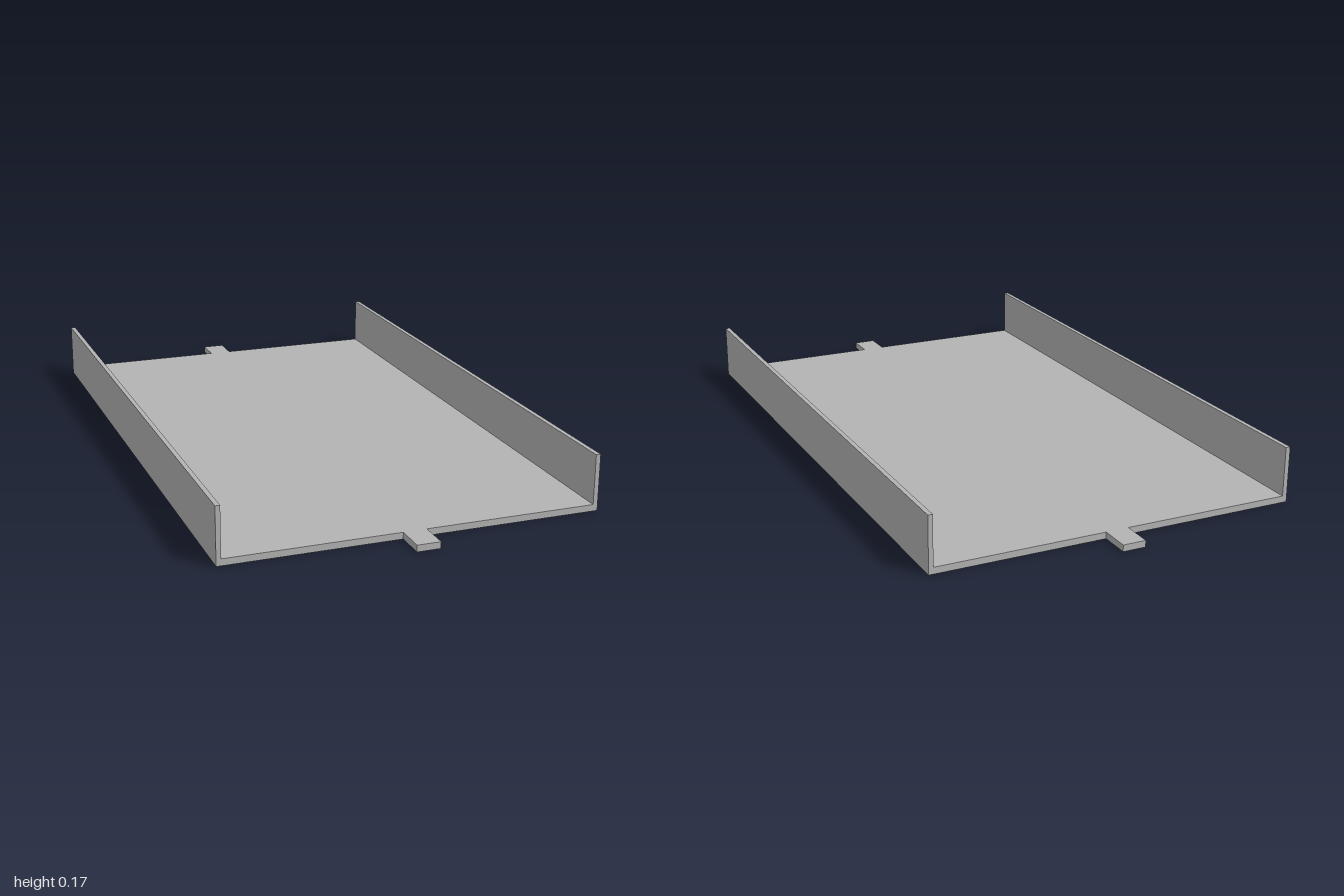
import * as THREE from 'three';

const HALF_WIDTH = 0.563, HALF_LENGTH = 0.908, HEIGHT = 0.17;
const FLOOR = 0.02, WALL = 0.014, TAB_WIDTH = 0.07;

export function createModel() {
  const model = new THREE.Group();
  model.name = 'tray';
  const grey = new THREE.MeshStandardMaterial({ color: 0xb3b3b3 });
  grey.name = 'grey metal';

  // U-shaped channel: floor with two upright side walls
  const inner = HALF_WIDTH - WALL;
  const profile = new THREE.Shape([
    [-HALF_WIDTH, 0], [HALF_WIDTH, 0], [HALF_WIDTH, HEIGHT], [inner, HEIGHT],
    [inner, FLOOR], [-inner, FLOOR], [-inner, HEIGHT], [-HALF_WIDTH, HEIGHT],
  ].map(([x, y]) => new THREE.Vector2(x, y)));
  const channelGeometry = new THREE.ExtrudeGeometry(profile, { depth: 2 * HALF_LENGTH, bevelEnabled: false });
  channelGeometry.translate(0, 0, -HALF_LENGTH);
  const channel = new THREE.Mesh(channelGeometry, grey);
  channel.name = 'channel';
  model.add(channel);

  // Mounting tab at the middle of each open end
  const tabLength = 1 - HALF_LENGTH;
  for (const [name, side] of [['frontTab', 1], ['backTab', -1]]) {
    const tab = new THREE.Mesh(new THREE.BoxGeometry(TAB_WIDTH, FLOOR, tabLength), grey);
    tab.name = name;
    tab.position.set(0, FLOOR / 2, side * (HALF_LENGTH + tabLength / 2));
    model.add(tab);
  }
  return model;
}
